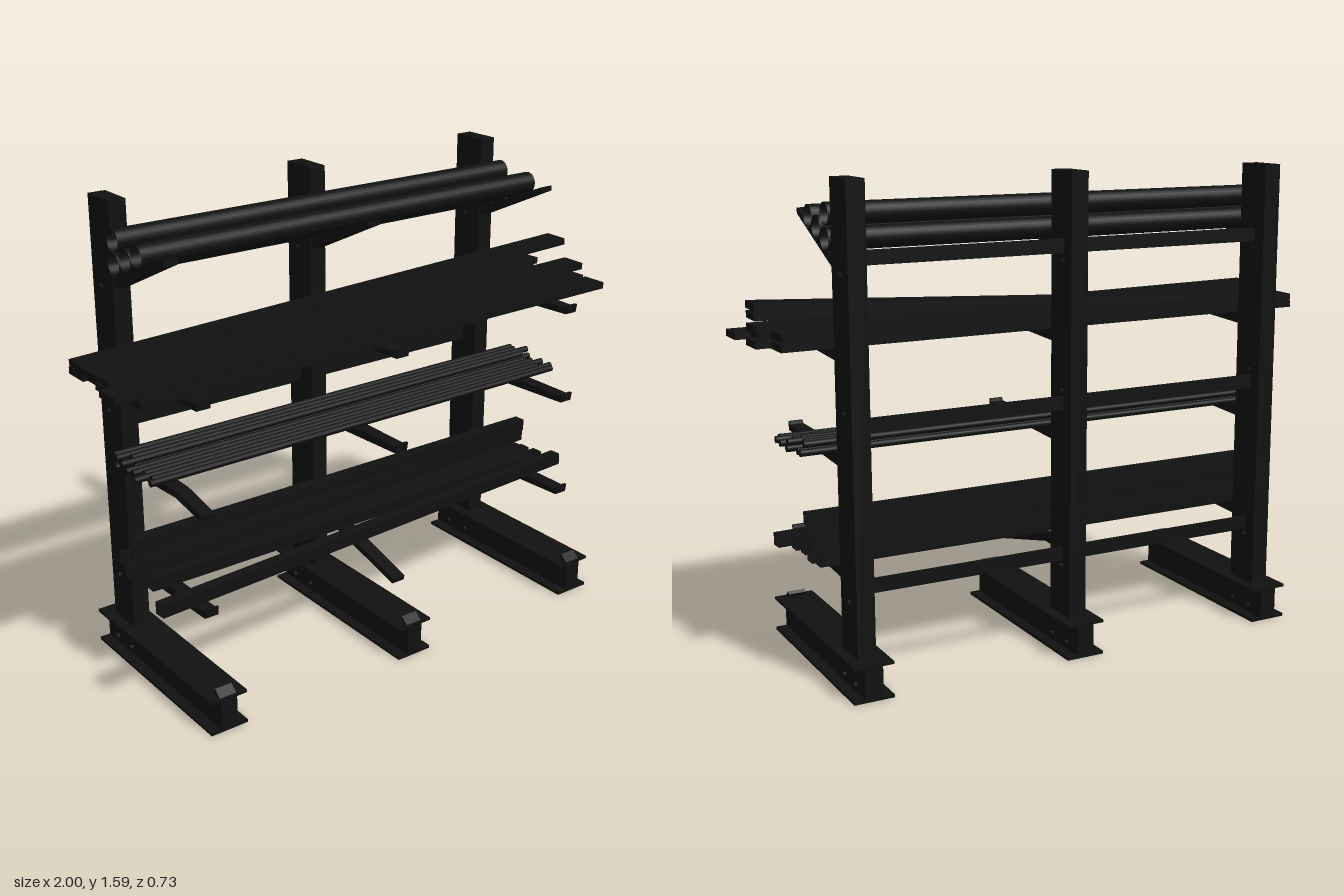
import * as THREE from 'three';

const material = new THREE.MeshStandardMaterial({ color: 0x111111 });
const openMaterial = new THREE.MeshStandardMaterial({ color: 0x111111, side: THREE.DoubleSide });
const COLUMNS = [-0.745, 0, 0.75];

function add(parent, name, geometry, x = 0, y = 0, z = 0, mat = material) {
  const mesh = new THREE.Mesh(geometry, mat);
  mesh.name = name;
  mesh.position.set(x, y, z);
  parent.add(mesh);
  return mesh;
}

const box = (w, h, d) => new THREE.BoxGeometry(w, h, d);

// Side outline given as [z, y] points, extruded symmetrically along x
function sideProfile(points, width) {
  const shape = new THREE.Shape(points.map(([z, y]) => new THREE.Vector2(z, y)));
  const geometry = new THREE.ExtrudeGeometry(shape, { depth: width, bevelEnabled: false });
  return geometry.translate(0, 0, -width / 2).rotateY(-Math.PI / 2);
}

// Stretch stock modelled along z between two points
function span(parent, name, a, b, makeGeometry, mat = material) {
  const start = new THREE.Vector3(...a), end = new THREE.Vector3(...b);
  const mesh = add(parent, name, makeGeometry(start.distanceTo(end)), 0, 0, 0, mat);
  mesh.position.copy(start).add(end).multiplyScalar(0.5);
  mesh.lookAt(end);
  return mesh;
}

// Hollow square tube along z
function squareTube(length, size = 0.042, wall = 0.003) {
  const square = (target, h) => target.moveTo(-h, -h).lineTo(h, -h).lineTo(h, h).lineTo(-h, h).closePath();
  const shape = square(new THREE.Shape(), size / 2);
  shape.holes.push(square(new THREE.Path(), size / 2 - wall));
  return new THREE.ExtrudeGeometry(shape, { depth: length, bevelEnabled: false }).translate(0, 0, -length / 2);
}

function buildUpright(x, index) {
  const upright = new THREE.Group();
  upright.name = 'upright';
  upright.position.x = x;

  // Column on an I-section foot
  add(upright, 'column', box(0.06, 1.59, 0.13), 0, 0.795, -0.245);
  add(upright, 'footWeb', box(0.06, 0.108, 0.73), 0, 0.06, 0);
  for (const y of [0.005, 0.115]) add(upright, 'footFlange', box(0.134, 0.01, 0.73), 0, y, 0);
  const stop = add(upright, 'footStop', box(0.06, 0.035, 0.012), 0, 0.127, 0.343);
  stop.rotation.x = -0.9;

  // Bolts on both sides of the column and foot
  const bolt = new THREE.CylinderGeometry(0.009, 0.009, 0.012, 6).rotateZ(Math.PI / 2);
  for (const side of [-1, 1]) {
    for (const y of [0.29, 0.885, 1.305]) add(upright, 'bolt', bolt, side * 0.034, y, -0.255);
    for (const y of [0.035, 0.09])
      for (const z of [-0.295, -0.2]) add(upright, 'footBolt', bolt, side * 0.034, y, z);
  }

  // Tapered arms, with two bent out of shape
  const straightArm = (y) => [[-0.19, y - 0.04], [0.28, y - 0.02], [0.285, y + 0.01], [0.275, y + 0.01], [0.272, y], [-0.19, y]];
  const droopedArm = [[-0.19, 0.34], [-0.13, 0.34], [0.272, 0.24], [0.278, 0.258], [-0.13, 0.368], [-0.19, 0.383]];
  const kinkedArm = [[-0.19, 0.705], [0.13, 0.722], [0.278, 0.698], [0.285, 0.715], [0.13, 0.745], [-0.19, 0.745]];
  const outlines = [
    index === 1 ? droopedArm : straightArm(0.385),
    index === 0 ? kinkedArm : straightArm(0.745),
    straightArm(1.075),
    [[-0.19, 1.308], [0.13, 1.457], [0.13, 1.475], [-0.19, 1.343]],
  ];
  for (const points of outlines) add(upright, 'arm', sideProfile(points, 0.048));
  return upright;
}

export function createModel() {
  const rack = new THREE.Group();
  rack.name = 'cantileverRack';
  COLUMNS.forEach((x, i) => rack.add(buildUpright(x, i)));

  // Horizontal rails joining the columns
  for (const y of [0.333, 0.843, 1.353]) add(rack, 'rail', box(1.44, 0.045, 0.015), 0, y, -0.255);

  // Large open pipes on the top arms
  const pipe = new THREE.CylinderGeometry(0.036, 0.036, 1.575, 24, 1, true).rotateZ(Math.PI / 2);
  for (const [z, y] of [[-0.003, 1.46], [-0.073, 1.432], [-0.145, 1.477], [-0.145, 1.402]])
    add(rack, 'pipe', pipe, 0, y, z, openMaterial);

  // Loosely piled planks
  const planks = [
    [[-1, 1.12, 0.175], [0.95, 1.11, 0.09]],
    [[-0.92, 1.087, 0.175], [1, 1.087, 0.145]],
    [[-0.945, 1.088, 0.04], [0.95, 1.088, 0.05]],
    [[-0.94, 1.108, 0.035], [0.955, 1.152, 0.08]],
    [[-0.945, 1.112, -0.13], [1, 1.205, -0.06]],
    [[-0.945, 1.088, -0.13], [0.95, 1.088, -0.145]],
    [[-0.93, 1.09, -0.04], [1, 1.09, -0.06]],
    [[-0.945, 1.11, -0.04], [0.95, 1.12, -0.15]],
  ];
  for (const [a, b] of planks) span(rack, 'plank', a, b, (length) => box(0.09, 0.023, length));

  // Two layers of round bars
  const bar = new THREE.CylinderGeometry(0.0115, 0.0115, 1.7, 12).rotateZ(Math.PI / 2);
  for (let i = 0; i < 14; i++) {
    const lower = i < 10;
    const z = lower ? 0.066 - i * 0.0252 : -0.07 - (i - 10) * 0.0265;
    add(rack, 'roundBar', bar, 0.032 + 0.028 * Math.sin(i * 2.4), lower ? 0.758 : 0.781, z);
  }

  // Stacked square tubes, some lying askew
  const tubes = [
    [[-0.89, 0.408, 0.215], [0.89, 0.408, 0.105]],
    [[-0.83, 0.408, 0.05], [0.85, 0.408, 0.05]],
    [[-0.82, 0.408, -0.008], [0.84, 0.408, -0.008]],
    [[-0.85, 0.408, -0.052], [0.83, 0.408, -0.052]],
    [[-0.83, 0.408, -0.099], [0.85, 0.408, -0.099]],
    [[-0.82, 0.408, -0.147], [0.84, 0.408, -0.147]],
    [[-0.825, 0.461, 0.015], [0.85, 0.461, -0.06]],
    [[-0.825, 0.461, -0.055], [0.85, 0.461, -0.11]],
    [[-0.83, 0.51, -0.043], [0.84, 0.51, -0.043]],
  ];
  for (const [a, b] of tubes) span(rack, 'squareTube', a, b, (length) => squareTube(length));

  return rack;
}
